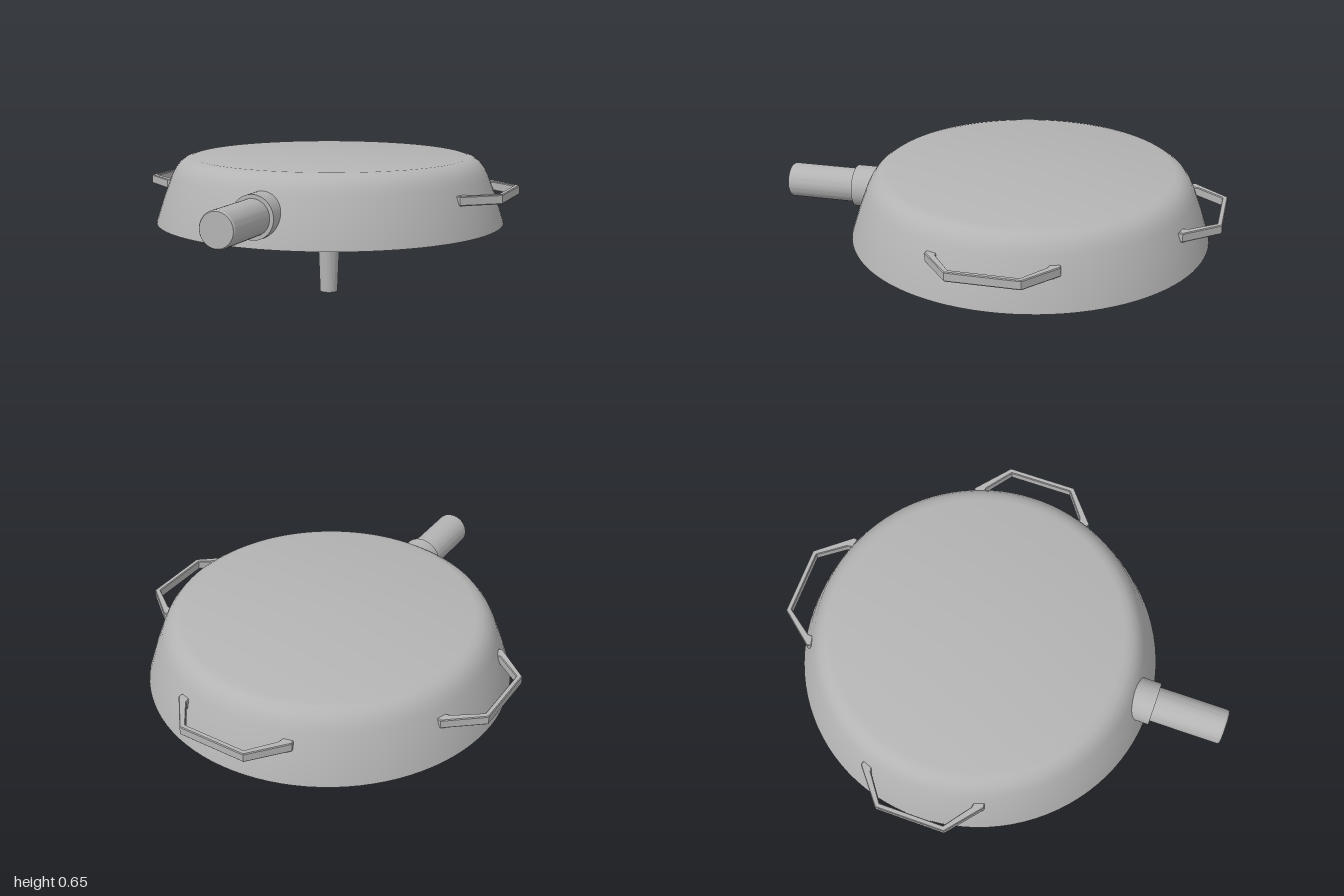
import * as THREE from 'three';
import { toCreasedNormals } from 'three/addons/utils/BufferGeometryUtils.js';

const CX = -0.005, CZ = -0.138; // stem axis
const v = (x, y) => new THREE.Vector2(x, y);

export function createModel() {
  const model = new THREE.Group();
  const grey = new THREE.MeshStandardMaterial({ color: 0xb4b4b4 });
  const add = (parent, name, geometry, x = 0, y = 0, z = 0) => {
    const mesh = new THREE.Mesh(geometry, grey);
    mesh.name = name;
    mesh.position.set(x, y, z);
    parent.add(mesh);
    return mesh;
  };
  const lathe = (pts, segments) =>
    toCreasedNormals(new THREE.LatheGeometry(pts.map(p => v(...p)), segments), 0.5);

  // Lamp housing: stepped, dished underside, sloping wall, rounded shoulder, flat top
  add(model, 'lampHousing', lathe([
    [0, 0.42], [0.305, 0.42], [0.31, 0.40], [0.445, 0.40], [0.45, 0.38],
    [0.605, 0.38], [0.61, 0.362], [0.775, 0.362], [0.78, 0.35], [0.803, 0.35],
    [0.801, 0.36], [0.765, 0.47], [0.728, 0.567], [0.712, 0.598], [0.692, 0.624],
    [0.666, 0.642], [0.635, 0.65], [0, 0.65],
  ], 96), 0, 0, CZ);

  // Concentric rings of lenses under the housing
  const lenses = new THREE.Group();
  lenses.name = 'lenses';
  lenses.position.z = CZ;
  model.add(lenses);
  const rings = [
    { count: 16, ring: 0.69, r: 0.064, y: 0.362 },
    { count: 14, ring: 0.527, r: 0.064, y: 0.38 },
    { count: 12, ring: 0.38, r: 0.054, y: 0.40 },
    { count: 16, ring: 0.25, r: 0.033, y: 0.42 },
  ];
  for (const { count, ring, r, y } of rings) {
    const lens = lathe([[0, -0.012], [r * 0.9, -0.011], [r, -0.006], [r, 0.008]], 28);
    for (let i = 0; i < count; i++) {
      const a = ((i + 0.25) / count) * Math.PI * 2;
      add(lenses, 'lens', lens, Math.cos(a) * ring, y, Math.sin(a) * ring);
    }
  }

  // Central grip: post, flange, collar and tapered handle
  add(model, 'centreGrip', lathe([
    [0, 0], [0.036, 0], [0.041, 0.006], [0.05, 0.245], [0.077, 0.245], [0.077, 0.31],
    [0.107, 0.31], [0.107, 0.32], [0.182, 0.32], [0.182, 0.345], [0.11, 0.345], [0.11, 0.43],
  ], 48), CX, 0, CZ);

  // Mounting arm at the front, with its collar
  const arm = lathe([
    [0, 0.4], [0.09, 0.4], [0.095, 0.405], [0.095, 0.822], [0.078, 0.822],
    [0.078, 1.13], [0.073, 1.138], [0, 1.138],
  ], 48);
  arm.rotateX(Math.PI / 2);
  add(model, 'mountingArm', arm, -0.007, 0.483, CZ);

  // Bracket handles on three sides
  const half = [[0.155, 0.862], [0.28, 0.71], [0.275, 0.69], [0.232, 0.7], [0.228, 0.725], [0.143, 0.84]];
  const outline = [...half, ...half.map(([x, y]) => [-x, y]).reverse()];
  const bracket = new THREE.ExtrudeGeometry(new THREE.Shape(outline.map(p => v(...p))), {
    depth: 0.034, bevelEnabled: true, bevelThickness: 0.004, bevelSize: 0.003, bevelOffset: -0.003, bevelSegments: 1,
  });
  bracket.translate(0, 0, -0.017);
  bracket.rotateX(-Math.PI / 2);
  const handles = { backHandle: 0, leftHandle: -Math.PI / 2, rightHandle: Math.PI / 2 };
  for (const [name, turn] of Object.entries(handles)) {
    const reach = turn ? -0.005 * Math.sign(turn) * -1 : 0;
    add(model, name, bracket, reach, 0.513, CZ).rotation.y = turn;
  }

  return model;
}
